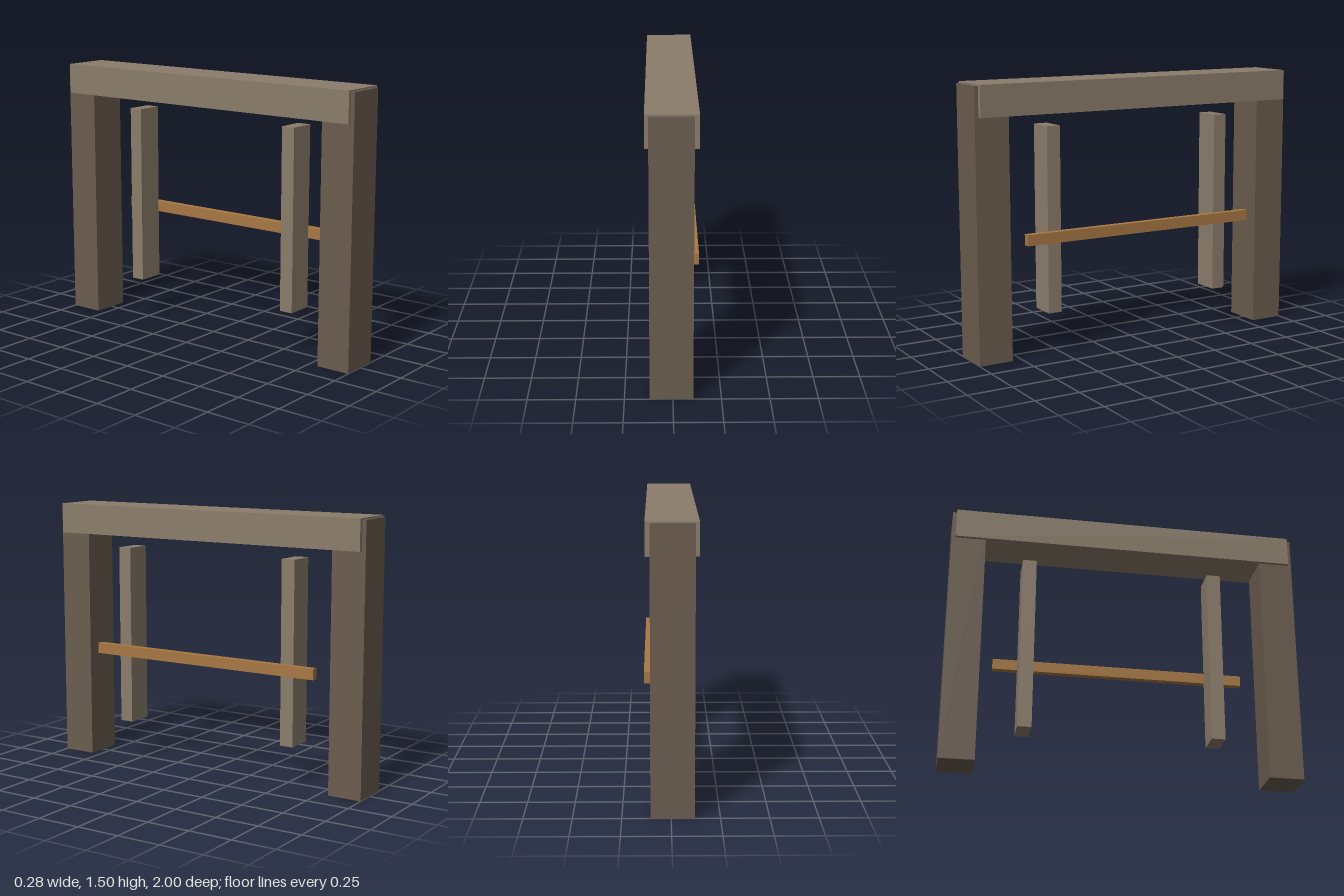
import * as THREE from 'three';

// Box mesh spanning [x0,x1] x [y0,y1] x [z0,z1]
function block(name, color, [x0, x1], [y0, y1], [z0, z1]) {
  const geometry = new THREE.BoxGeometry(x1 - x0, y1 - y0, z1 - z0);
  const mesh = new THREE.Mesh(geometry, new THREE.MeshStandardMaterial({ color }));
  mesh.name = name;
  mesh.position.set((x0 + x1) / 2, (y0 + y1) / 2, (z0 + z1) / 2);
  return mesh;
}

export function createModel() {
  const group = new THREE.Group();
  group.name = 'gateFrame';
  const stone = 0x8b7d6b, darkStone = 0x6b5d4f, wood = 0xa87843;

  // Lintel across the top, slightly wider than the posts
  group.add(block('lintel', stone, [-0.14, 0.13], [1.333, 1.505], [-0.978, 0.978]));

  // Heavy posts and slim inner uprights, one pair at each end
  for (const [end, s] of [['front', 1], ['back', -1]]) {
    const span = (a, b) => (s > 0 ? [a, b] : [-b, -a]);
    group.add(block(end + 'Post', darkStone, [-0.12, 0.105], [0, 1.497], span(0.805, 1)));
    group.add(block(end + 'Upright', stone, [-0.047, 0.105], [0.235, 1.265], span(0.503, 0.582)));
  }

  // Wooden bar across the face of the uprights
  group.add(block('crossbar', wood, [0.1, 0.138], [0.632, 0.693], [-0.72, 0.72]));

  return group;
}
